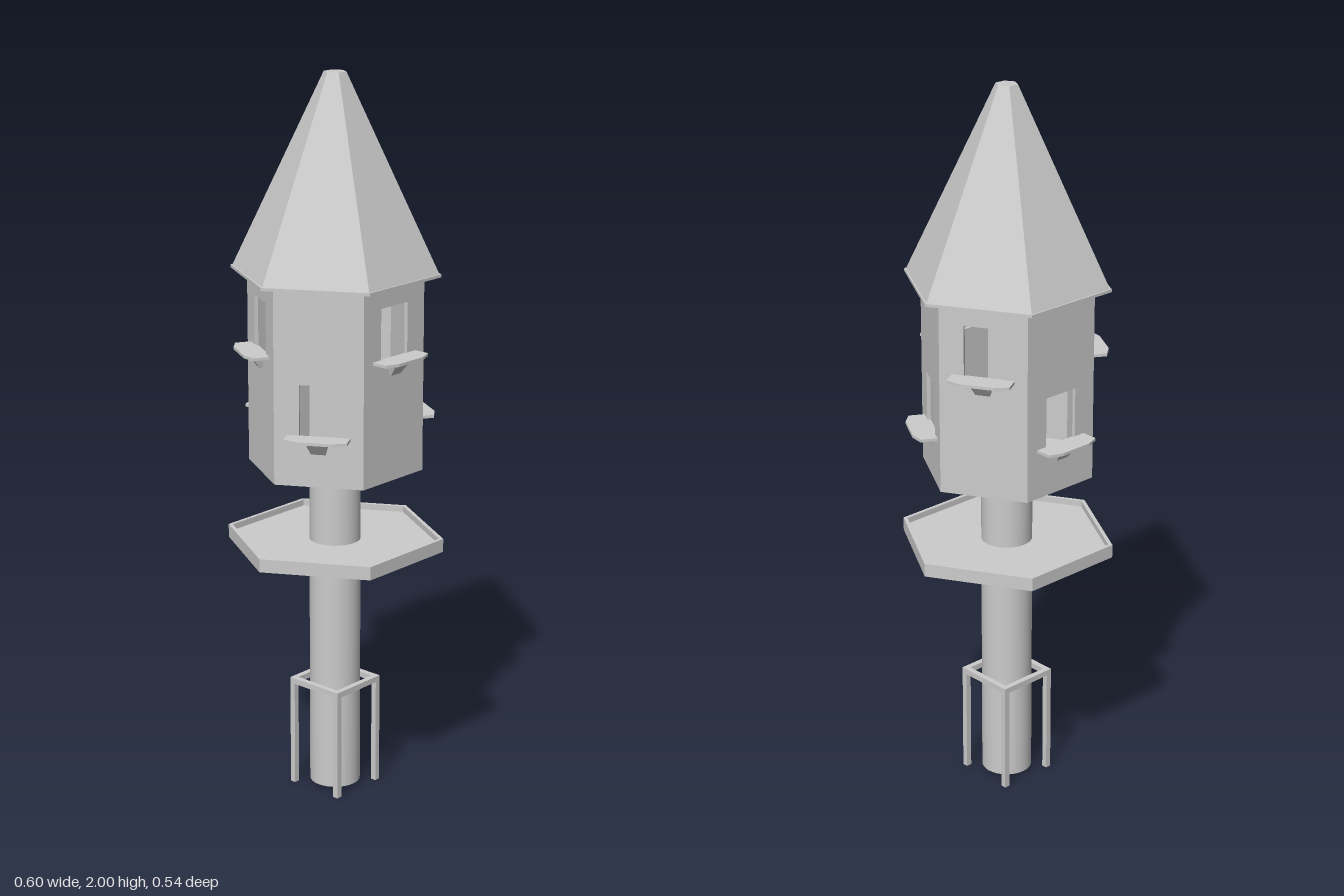
import * as THREE from 'three';

const material = new THREE.MeshStandardMaterial({ color: 0xcccccc, flatShading: true });
const smooth = new THREE.MeshStandardMaterial({ color: 0xcccccc });

function add(parent, name, geometry, x = 0, y = 0, z = 0, mat = material) {
  const mesh = new THREE.Mesh(geometry, mat);
  mesh.name = name;
  mesh.position.set(x, y, z);
  parent.add(mesh);
  return mesh;
}

const box = (w, h, d) => new THREE.BoxGeometry(w, h, d);

// Hexagonal prism or frustum from y0 to y1, with corners on the x axis
function hexPrism(rTop, rBottom, y0, y1) {
  return new THREE.CylinderGeometry(rTop, rBottom, y1 - y0, 6)
    .rotateY(Math.PI / 6)
    .translate(0, (y0 + y1) / 2, 0);
}

const hexPoints = (r) => Array.from({ length: 6 }, (_, i) =>
  new THREE.Vector2(r * Math.cos(i * Math.PI / 3), r * Math.sin(i * Math.PI / 3)));

const WALL_R = 0.24, APOTHEM = WALL_R * Math.cos(Math.PI / 6);
const WALL_Y0 = 0.935, WALL_Y1 = 1.47, WALL_T = 0.01;
const WIN_W = 0.105, WIN_H = 0.14;

// One wall with its window, perch ledge and bracket, facing +z
function wallPanel(sill) {
  const panel = new THREE.Group();
  const h = WALL_R / 2, w = WIN_W / 2;
  const points = (list) => list.map(([x, y]) => new THREE.Vector2(x, y));
  const shape = new THREE.Shape(points([[-h, WALL_Y0], [h, WALL_Y0], [h, WALL_Y1], [-h, WALL_Y1]]));
  shape.holes.push(new THREE.Path(points(
    [[-w, sill], [-w, sill + WIN_H], [w, sill + WIN_H], [w, sill]])));
  add(panel, 'wall', new THREE.ExtrudeGeometry(shape, { depth: WALL_T, bevelEnabled: false }),
    0, 0, APOTHEM - WALL_T);

  // Thin ledge with clipped outer corners
  const ledge = new THREE.Shape(points(
    [[-0.085, 0], [-0.085, -0.045], [-0.048, -0.06], [0.048, -0.06], [0.085, -0.045], [0.085, 0]]));
  add(panel, 'perchLedge',
    new THREE.ExtrudeGeometry(ledge, { depth: 0.008, bevelEnabled: false }).rotateX(-Math.PI / 2),
    0, sill - 0.005, APOTHEM);

  // Bracket narrows downward and runs back to the wall
  const bracket = box(0.06, 0.04, 0.036);
  const p = bracket.attributes.position;
  for (let i = 0; i < p.count; i++) {
    if (p.getY(i) < 0) {
      p.setX(i, p.getX(i) * 0.65);
      if (p.getZ(i) > 0) p.setZ(i, -0.012);
    }
  }
  add(panel, 'ledgeBracket', bracket, 0, sill - 0.025, APOTHEM + 0.018);
  return panel;
}

export function createModel() {
  const model = new THREE.Group();
  model.name = 'birdhouse';

  // Round post
  add(model, 'post', new THREE.CylinderGeometry(0.07, 0.07, 0.93, 32), 0, 0.475, 0, smooth);

  // Ground frame: four legs joined by a square ring
  const ground = new THREE.Group();
  ground.name = 'groundFrame';
  model.add(ground);
  const c = 0.08, t = 0.016;
  for (const s of [-1, 1]) {
    for (const q of [-1, 1]) add(ground, 'leg', box(t, 0.3, t), s * c, 0.15, q * c);
    add(ground, 'ringBarX', box(2 * c + t, t, t), 0, 0.307, s * c);
    add(ground, 'ringBarZ', box(t, t, 2 * c - t), s * c, 0.307, 0);
  }

  // Timber supports clamping the post under the tray
  const support = new THREE.Group();
  support.name = 'traySupport';
  model.add(support);
  for (const s of [-1, 1]) {
    add(support, 'supportBeam', box(0.03, 0.045, 0.25), s * 0.078, 0.683, 0);
    add(support, 'crossBeam', box(0.126, 0.045, 0.025), 0, 0.683, s * 0.08);
  }

  // Feeding tray with a thin rim
  const tray = new THREE.Group();
  tray.name = 'feedingTray';
  model.add(tray);
  add(tray, 'trayFloor', hexPrism(0.29, 0.29, 0.705, 0.725));
  const rim = new THREE.Shape(hexPoints(0.3));
  rim.holes.push(new THREE.Path(hexPoints(0.288).reverse()));
  add(tray, 'trayRim',
    new THREE.ExtrudeGeometry(rim, { depth: 0.037, bevelEnabled: false }).rotateX(-Math.PI / 2),
    0, 0.705, 0);

  // Six-sided house, windows alternating high and low
  const house = new THREE.Group();
  house.name = 'house';
  model.add(house);
  for (let i = 0; i < 6; i++) {
    const panel = wallPanel(i % 2 ? 1.072 : 1.272);
    panel.name = 'wallPanel';
    panel.rotation.y = i * Math.PI / 3;
    house.add(panel);
  }
  add(house, 'houseFloor', hexPrism(0.238, 0.238, WALL_Y0 + 0.001, WALL_Y0 + 0.011));

  // Roof with a thin eave plate
  add(model, 'eavePlate', hexPrism(0.285, 0.285, 1.468, 1.476));
  add(model, 'roof', hexPrism(0.03, 0.28, 1.476, 2));

  return model;
}
